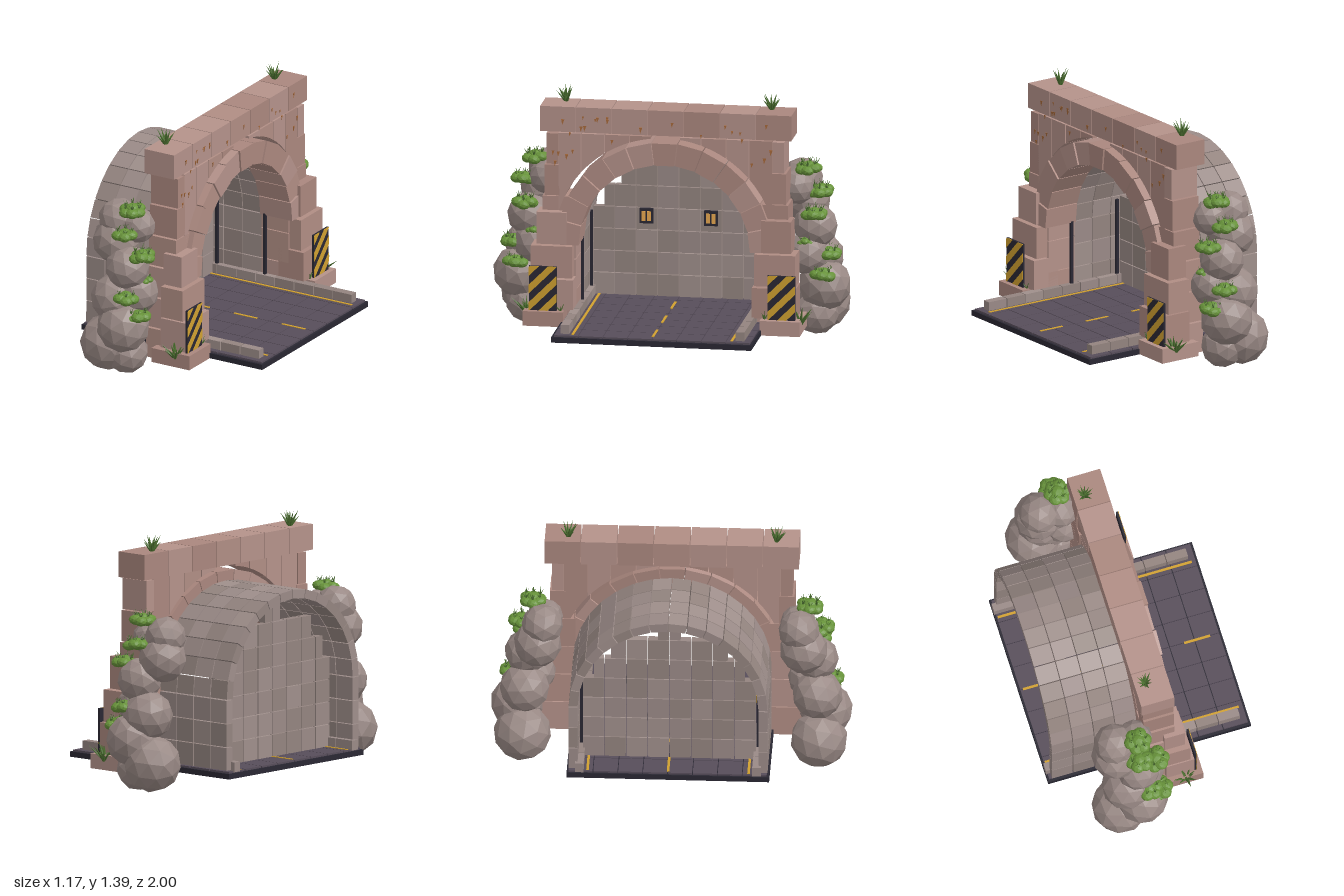
import * as THREE from 'three';

const mat = (color, double) => new THREE.MeshStandardMaterial({
  color, flatShading: true, side: double ? THREE.DoubleSide : THREE.FrontSide });
const STONE = [0xb08d84, 0xaa877e, 0xb4928a].map(c => mat(c));
const LINING = [0x9a8a87, 0x93847f, 0x9f8f8b].map(c => mat(c));
const ROCK = mat(0x998985), ROAD = mat(0x574d5a), DARK = mat(0x2a2833);
const YELLOW = mat(0xd0a030), LAMP = mat(0xe8a850), RUST = mat(0xa5683a, true);
const LEAF = mat(0x67923a), GRASS = mat(0x4c7030, true);
const GAP = 0.005, CY = 0.52; // joint width, height of the arch centre

let seed = 11;
const rand = () => (seed = (seed * 16807) % 2147483647) / 2147483647;
const pick = list => list[Math.floor(rand() * list.length)];

function add(parent, name, geometry, material, x = 0, y = 0, z = 0) {
  const m = new THREE.Mesh(geometry, material);
  m.name = name;
  m.position.set(x, y, z);
  parent.add(m);
  return m;
}

// Box given by its limits on each axis
function block(parent, name, material, x0, x1, y0, y1, z0, z1) {
  return add(parent, name, new THREE.BoxGeometry(x1 - x0, y1 - y0, z1 - z0), material,
    (x0 + x1) / 2, (y0 + y1) / 2, (z0 + z1) / 2);
}

// Outline in the z-y plane, extruded from x0 to x1
function slab(parent, name, material, points, x0, x1) {
  const shape = new THREE.Shape(points.map(p => new THREE.Vector2(-p[0], p[1])));
  const g = new THREE.ExtrudeGeometry(shape, { depth: x1 - x0, bevelEnabled: false });
  g.rotateY(Math.PI / 2).translate(x0, 0, 0);
  return add(parent, name, g, material);
}

// Wedge stone of an arch between two angles
function wedge(parent, name, material, r0, r1, a0, a1, x0, x1) {
  const d = GAP / (r0 + r1);
  const p = (r, a) => [Math.cos(a) * r, CY + Math.sin(a) * r];
  return slab(parent, name, material,
    [p(r0, a0 + d), p(r1, a0 + d), p(r1, a1 - d), p(r0, a1 - d)], x0, x1);
}

function group(parent, name) {
  const g = new THREE.Group();
  g.name = name;
  parent.add(g);
  return g;
}

// Fan of thin leaning blades
function tuft(parent, x, y, z, height, count, lean = 0.75) {
  const g = group(parent, 'grassTuft');
  for (let i = 0; i < count; i++) {
    const geo = new THREE.ConeGeometry(height * 0.11, height * (0.75 + rand() * 0.4), 4);
    geo.computeBoundingBox();
    geo.translate(0, geo.boundingBox.max.y, 0);
    const blade = add(g, 'blade', geo, GRASS, x, y, z);
    blade.rotation.set(0, (i / count) * Math.PI * 2 + rand() * 0.3, lean * (0.3 + 0.7 * rand()), 'YXZ');
  }
}

// Leafy clump with small sprigs on top
function bush(parent, x, y, z, r) {
  const g = group(parent, 'bush');
  for (let i = 0; i < 7; i++) {
    const a = i * 1.047, k = i === 6 ? 0 : r * 0.55;
    const b = add(g, 'leafClump', new THREE.IcosahedronGeometry(r * 0.55, 1), LEAF,
      x + Math.cos(a) * k, y + (i === 6 ? 0.012 : (rand() - 0.5) * 0.02), z + Math.sin(a) * k);
    b.scale.y = 0.7;
    b.rotation.y = rand() * 3;
  }
  for (let i = 0; i < 6; i++)
    tuft(g, x + Math.cos(i * 1.05) * r * 0.6, y + r * 0.25, z + Math.sin(i * 1.05) * r * 0.6, r * 0.55, 4, 0.6);
}

function buildRoad(root) {
  const g = group(root, 'road');
  block(g, 'roadBase', DARK, -0.585, 0.585, 0.08, 0.11, -0.56, 0.56);
  for (let i = 0; i < 8; i++) for (let j = 0; j < 8; j++) {
    const x = -0.575 + i * 0.144, z = -0.55 + j * 0.1375;
    block(g, 'roadTile', ROAD, x, x + 0.139, 0.105, 0.12, z, z + 0.133);
  }
  for (let x = -0.56; x < 0.5; x += 0.31) block(g, 'centreDash', YELLOW, x, x + 0.15, 0.115, 0.123, -0.007, 0.007);
  for (const s of [-1, 1]) {
    block(g, 'edgeLine', YELLOW, -0.57, 0.55, 0.115, 0.123, s * 0.445 - 0.007, s * 0.445 + 0.007);
    for (let i = 0; i < 9; i++) {
      const x = -0.585 + i * 0.125;
      block(g, 'kerbStone', pick(LINING), x, x + 0.12, 0.115, 0.17, s * 0.49 - 0.024, s * 0.49 + 0.024);
    }
  }
}

function buildTunnel(root) {
  const g = group(root, 'tunnelLining');
  const step = Math.PI / 16, w = 0.124;
  for (let i = 0; i < 4; i++) {
    const x0 = -0.56 + i * w, x1 = x0 + w - GAP;
    for (let k = 0; k < 16; k++) wedge(g, 'vaultBlock', pick(LINING), 0.5, 0.55, k * step, (k + 1) * step, x0, x1);
    for (const s of [-1, 1]) for (let r = 0; r < 3; r++) {
      const y = 0.125 + r * 0.132, a = s * 0.5, b = s * 0.55;
      block(g, 'sideBlock', pick(LINING), x0, x1, y, y + 0.127, Math.min(a, b), Math.max(a, b));
    }
  }
  // Stepped wall closing the tunnel
  const half = [0.48, 0.48, 0.48, 0.48, 0.42, 0.325, 0.065];
  half.forEach((h, r) => {
    const y = 0.12 + r * 0.126;
    for (let c = 0; c < 4; c++) for (const s of [-1, 1]) {
      const a = c * 0.12 + GAP / 2, b = Math.min((c + 1) * 0.12, h) - GAP / 2;
      if (b - a > 0.01) block(g, 'endWallBlock', pick(LINING), -0.41, -0.365, y, y + 0.121,
        s > 0 ? a : -b, s > 0 ? b : -a);
    }
  });
  for (const s of [-1, 1]) {
    // Small lit lamps on the end wall
    block(g, 'lampFrame', DARK, -0.37, -0.35, 0.535, 0.62, s * 0.18 - 0.038, s * 0.18 + 0.038);
    for (const o of [-0.015, 0.015])
      block(g, 'lampPane', LAMP, -0.352, -0.345, 0.55, 0.605, s * 0.18 + o - 0.011, s * 0.18 + o + 0.011);
    for (const x of [-0.35, -0.04])
      block(g, 'wallPost', DARK, x - 0.008, x + 0.008, 0.17, 0.6, s * 0.487 - 0.008, s * 0.487 + 0.008);
  }
}

function buildPortal(root) {
  const g = group(root, 'portal');
  for (let i = 0; i < 7; i++) {
    const z = -0.705 + i * 0.2015;
    block(g, 'capStone', pick(STONE), -0.09, 0.1, 1.157, 1.3, z, z + 0.2015 - GAP);
  }
  const step = Math.PI / 13;
  for (let k = 0; k < 13; k++)
    wedge(g, 'archStone', pick(STONE), 0.48, 0.607, k * step, (k + 1) * step, -0.065, k % 2 ? 0.135 : 0.142);
  // Wall above the arch, cut to its curve
  const cuts = [0.08, 0.2, 0.34, 0.47, 0.6];
  for (const s of [-1, 1]) for (let i = 0; i < 4; i++) {
    const z0 = cuts[i] + GAP / 2, z1 = cuts[i + 1] - GAP / 2;
    const pts = [[s * z1, 1.152], [s * z0, 1.152]];
    for (let k = 0; k <= 4; k++) {
      const z = z0 + (z1 - z0) * k / 4;
      pts.push([s * z, CY + Math.sqrt(0.625 ** 2 - z * z)]);
    }
    slab(g, 'spandrelStone', pick(STONE), pts, -0.065, 0.105);
  }
  for (const s of [-1, 1]) {
    const span = (name, x0, x1, y0, y1, a, b, m = pick(STONE)) =>
      block(g, name, m, x0, x1, y0, y1, Math.min(s * a, s * b), Math.max(s * a, s * b));
    // Tapering column of six stones
    for (let r = 0; r < 6; r++) {
      const y = 0.08 + r * 0.1787, inner = r < 3 ? 0.5 : [0.535, 0.59, 0.6][r - 3];
      span('columnStone', -0.07, 0.105, y, y + 0.1737, inner, 0.72 - r * 0.011);
    }
    // Stepped buttress with its footing
    span('footing', 0, 0.245, 0.08, 0.163, 0.55, 0.775);
    span('buttressStone', 0.04, 0.203, 0.166, 0.338, 0.5, 0.745);
    span('buttressStone', 0.04, 0.18, 0.343, 0.523, 0.51, 0.74);
    span('buttressStone', 0.04, 0.157, 0.528, 0.71, 0.545, 0.712);
    // Striped warning board
    const z0 = 0.59, z1 = 0.745, y0 = 0.163, y1 = 0.415;
    span('warningBoard', 0.203, 0.215, y0, y1, z0, z1, DARK);
    for (let k = 0; k < 4; k++) {
      const c = 0.05 + k * 0.1, w = 0.05, W = z1 - z0, H = y1 - y0, pts = [];
      // Diagonal band clipped to the board: c <= u + v <= c + w
      const edge = t => [[Math.min(t, W), t - Math.min(t, W)], [Math.max(0, t - H), Math.min(t, H)]];
      const lo = edge(c), hi = edge(Math.min(c + w, W + H - 0.002));
      pts.push(lo[0]);
      if (c < W && c + w > W) pts.push([W, 0]);
      pts.push(hi[0], hi[1]);
      if (c < H && c + w > H) pts.push([0, H]);
      pts.push(lo[1]);
      slab(g, 'warningStripe', YELLOW, pts.map(p => [s > 0 ? z0 + p[0] : -z1 + p[0], y0 + p[1]]), 0.214, 0.218);
    }
    tuft(g, -0.03, 1.298, s * 0.575, 0.095, 12);
    tuft(g, 0.15, 0.13, s * 0.765, 0.11, 12, 0.95);
    tuft(g, 0.2, 0.16, s * 0.57, 0.05, 6);
  }
  // Rust flecks on the face
  for (let i = 0; i < 44; i++) {
    const z = (rand() - 0.5) * 1.3, y = 0.95 + rand() * 0.3, s = 0.008 + rand() * 0.006;
    if (Math.hypot(z, y - CY) < 0.66) continue;
    const f = add(g, 'rustFleck', new THREE.ConeGeometry(s, s * 2.6, 3), RUST, y > 1.15 ? 0.101 : 0.106, y, z);
    f.rotation.x = Math.PI;
    f.scale.x = 0.3;
  }
}

// Boulders (x, y, z, radius) and bushes beside the portal
const BOULDERS = [[-0.25, 0.165, 0.82, 0.16], [-0.14, 0.125, 0.81, 0.122], [-0.135, 0.29, 0.855, 0.148],
  [-0.21, 0.43, 0.81, 0.14], [-0.1, 0.47, 0.76, 0.12], [-0.14, 0.62, 0.8, 0.125],
  [-0.25, 0.74, 0.735, 0.135], [-0.25, 0.86, 0.71, 0.115], [-0.13, 0.84, 0.7, 0.1]];
const BUSHES = [[-0.13, 0.95, 0.765], [-0.14, 0.82, 0.83], [-0.04, 0.71, 0.81], [-0.1, 0.475, 0.88],
  [-0.035, 0.37, 0.86], [-0.05, 0.55, 0.76]];

function buildRocks(root) {
  for (const s of [-1, 1]) {
    const g = group(root, s > 0 ? 'frontRocks' : 'backRocks');
    for (const [x, y, z, r] of BOULDERS) {
      const b = add(g, 'boulder', new THREE.IcosahedronGeometry(r, 1), ROCK, x, y, s * z);
      b.rotation.set(rand() * 3, rand() * 3, rand() * 3);
    }
    BUSHES.forEach(([x, y, z], i) => bush(g, x, y, s * z, i < 5 ? 0.072 : 0.045));
  }
}

export function createModel() {
  const root = new THREE.Group();
  root.name = 'tunnelEntrance';
  buildRoad(root);
  buildTunnel(root);
  buildPortal(root);
  buildRocks(root);
  return root;
}
